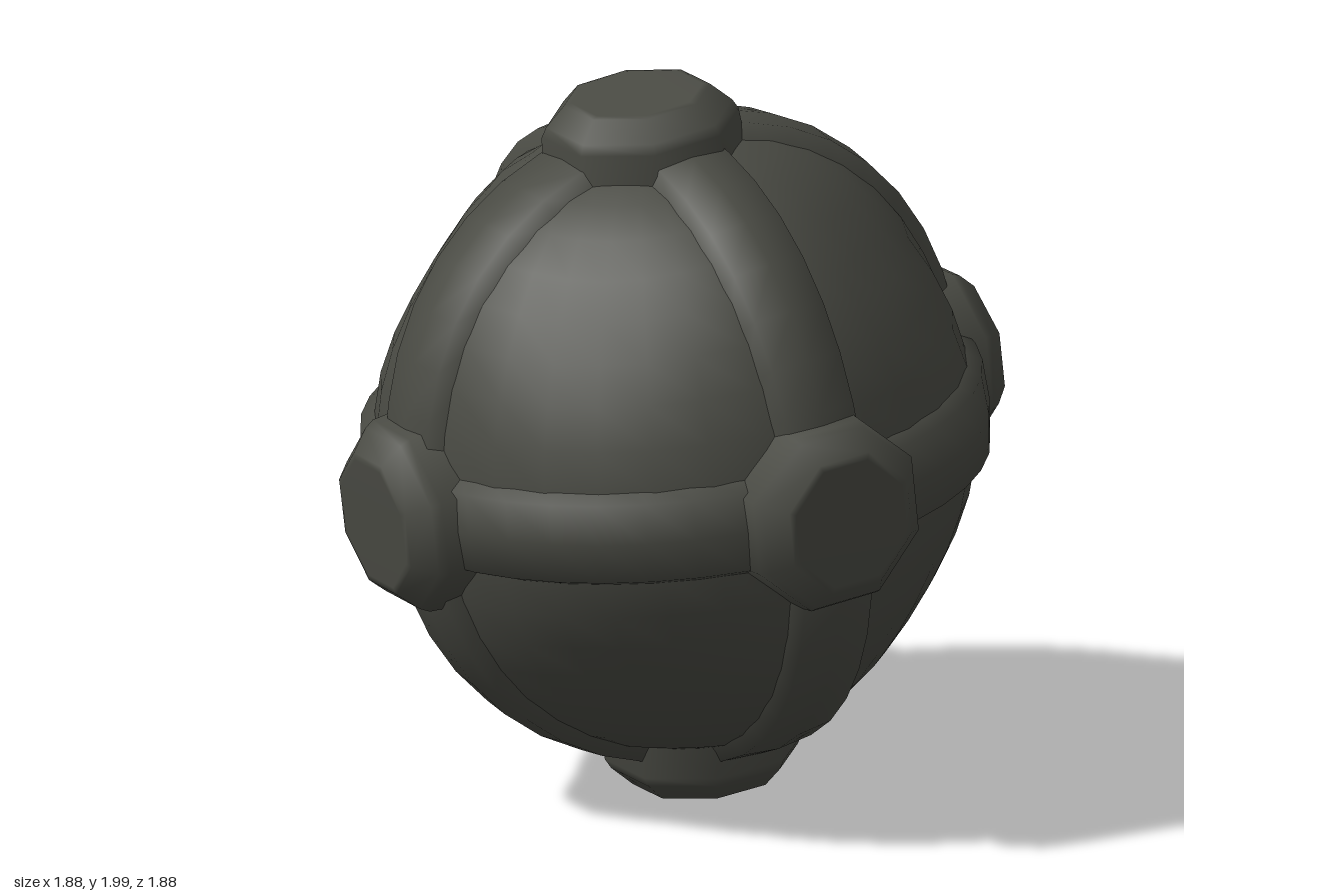
import * as THREE from 'three';

const V = (x, y) => new THREE.Vector2(x, y);

// fuller shoulders along the bands, flatter panel centres, slightly tall overall
function sculpt(geometry) {
  const pos = geometry.attributes.position;
  const p = new THREE.Vector3();
  const d = new THREE.Vector3();
  for (let i = 0; i < pos.count; i++) {
    d.copy(p.fromBufferAttribute(pos, i)).normalize();
    const y2 = d.y * d.y;
    const panel = 27 * d.x * d.x * y2 * d.z * d.z;
    const shoulder = (d.y > 0 ? 0.035 : 0.015) * 4 * y2 * (1 - y2);
    p.multiplyScalar(1 + shoulder * (1 - panel) - 0.035 * panel);
    pos.setXYZ(i, p.x, p.y * 1.05, p.z);
  }
  geometry.computeVertexNormals();
  return geometry;
}

export function createModel() {
  const model = new THREE.Group();
  const darkGrey = new THREE.MeshStandardMaterial({ color: 0x4a4b44 });
  darkGrey.name = 'darkGrey';

  // whole ball is tilted and turned
  const ball = new THREE.Group();
  ball.name = 'ball';
  const up = new THREE.Vector3(-0.045, 1, 0.1).normalize();
  const front = new THREE.Vector3(-0.345, -0.1, 0.93);
  front.addScaledVector(up, -front.dot(up)).normalize();
  const side = new THREE.Vector3().crossVectors(up, front);
  ball.quaternion.setFromRotationMatrix(new THREE.Matrix4().makeBasis(side, up, front));
  ball.position.y = 1;
  model.add(ball);

  const add = (name, geometry) => {
    const mesh = new THREE.Mesh(geometry, darkGrey);
    mesh.name = name;
    ball.add(mesh);
    return mesh;
  };

  // eight sunken panels in one core
  add('panels', sculpt(new THREE.SphereGeometry(0.815, 32, 22)));

  // three raised bands with sloping sides
  const bandProfile = [V(0.77, -0.14), V(0.845, -0.106), V(0.853, 0), V(0.845, 0.106), V(0.77, 0.14)];
  const band = () => new THREE.LatheGeometry(bandProfile, 40);
  add('equatorBand', sculpt(band()));
  add('frontBand', sculpt(band().rotateZ(Math.PI / 2)));
  add('sideBand', sculpt(band().rotateX(Math.PI / 2)));

  // six bevelled octagonal knobs, flats facing the bands: axis, height, slight lean
  const knobs = [
    ['topKnob', [0, 1, 0], 0.985, [0, 0, 0.01]],
    ['bottomKnob', [0, -1, 0], 0.985, [0, 0, 0.015]],
    ['leftKnob', [1, 0, 0], 0.935, [0, -0.01, 0.005]],
    ['rightKnob', [-1, 0, 0], 0.935, [0, 0.02, 0.04]],
    ['frontKnob', [0, 0, 1], 0.935, [-0.035, -0.015, 0]],
    ['backKnob', [0, 0, -1], 0.935, [-0.025, 0, 0]],
  ];
  for (const [name, [x, y, z], h, lean] of knobs) {
    const profile = [V(0.285, h - 0.25), V(0.27, h - 0.085), V(0.255, h - 0.058),
      V(0.2, h - 0.004), V(0.18, h), V(0, h)];
    const knob = add(name, new THREE.LatheGeometry(profile, 8, Math.PI / 8));
    knob.rotation.set(y < 0 ? Math.PI : z * Math.PI / 2, 0, -x * Math.PI / 2);
    const axis = new THREE.Vector3(x, y, z);
    const aim = new THREE.Vector3(...lean).add(axis).normalize();
    knob.quaternion.premultiply(new THREE.Quaternion().setFromUnitVectors(axis, aim));
  }
  return model;
}
